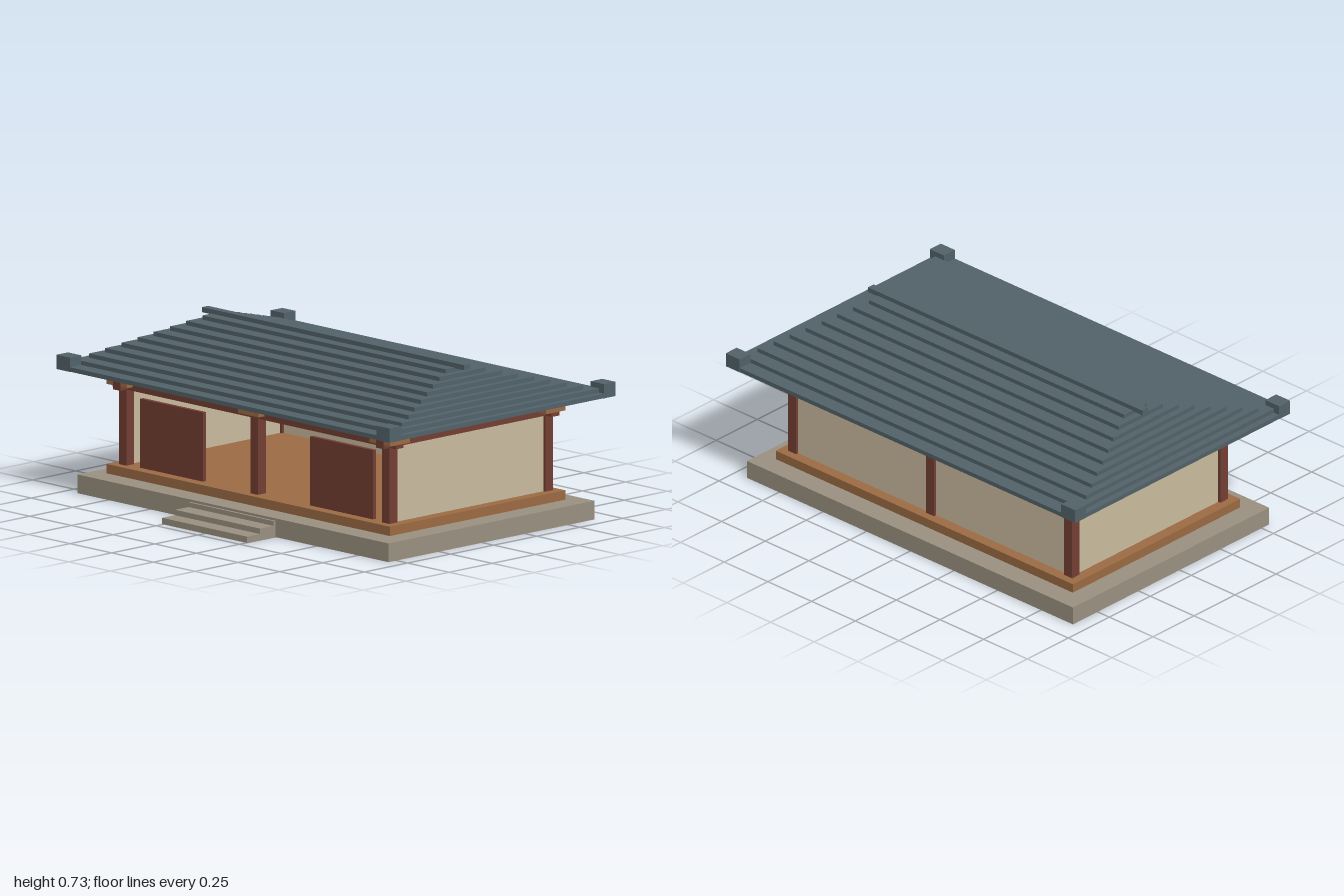
import * as THREE from 'three';

export function createModel() {
  const model = new THREE.Group();
  const paint = (name, color) => {
    const m = new THREE.MeshStandardMaterial({ color });
    m.name = name;
    return m;
  };
  const stone = paint('stone', 0x9a9181);
  const timber = paint('timber', 0x9c6b43);
  const redWood = paint('red wood', 0x733f33);
  const plaster = paint('plaster', 0xcabb9e);
  const tile = paint('roof tile', 0x52626a);

  // The hall sits slightly behind the origin to leave room for the steps
  const hall = new THREE.Group();
  hall.name = 'hall';
  hall.position.z = -0.0525;
  model.add(hall);

  // Box from its centre in x and z, its size, and its bottom and top heights
  const block = (name, mat, w, d, y0, y1, x = 0, z = 0, parent = hall) => {
    const mesh = new THREE.Mesh(new THREE.BoxGeometry(w, y1 - y0, d), mat);
    mesh.name = name;
    mesh.position.set(x, (y0 + y1) / 2, z);
    parent.add(mesh);
    return mesh;
  };

  const postX = 0.79, postZ = 0.452;

  // Stone platform and timber floor
  block('platform', stone, 1.866, 1.195, 0, 0.08);
  block('floor', timber, 1.7, 1.02, 0.085, 0.125);

  // Front steps
  [[0.71, 0.027], [0.635, 0.05], [0.557, 0.07]].forEach(([front, top], i) => {
    block(`step${i + 1}`, stone, 0.51, front - 0.5, 0, top, 0, (front + 0.5) / 2, model);
  });

  // Posts, long beams and brackets along the front and back
  for (const sz of [-1, 1]) {
    block('longBeam', redWood, 1.7, 0.045, 0.45, 0.49, 0, sz * postZ);
    for (const sx of [-1, 0, 1]) {
      const x = sx * postX, z = sz * postZ;
      block('post', redWood, 0.045, 0.045, 0.08, 0.45, x, z);
      block('bracketBlock', timber, 0.124, 0.115, 0.467, 0.497, x, z);
      block('bracketArm', timber, 0.165, 0.065, 0.503, 0.53, x, z);
    }
  }

  // Cross beams and side walls
  for (const sx of [-1, 1]) {
    block('crossBeam', redWood, 0.045, 1.02, 0.45, 0.489, sx * postX, 0);
    block('sideWall', plaster, 0.02, 0.87, 0.125, 0.45, sx * postX, 0);
  }
  block('backWall', plaster, 1.56, 0.02, 0.125, 0.45, 0, -postZ);

  // Two pairs of door leaves in the open front
  for (const sx of [-1, 1]) {
    for (const side of [-1, 1]) {
      block('doorLeaf', redWood, 0.188, 0.018, 0.125, 0.42, sx * 0.51 + side * 0.0945, postZ);
    }
  }

  // Stepped hip roof, every course smaller than the one below
  const courses = 10;
  for (let i = 0; i < courses; i++) {
    const bottom = i === 0 ? 0.53 : 0.531 + 0.018 * i;
    block('roofCourse', tile, 2 - 0.06 * i, 1.31 - 0.13 * i, bottom, 0.549 + 0.018 * i);
  }
  block('ridge', tile, 1.57, 0.035, 0.708, 0.73);

  // Raised eave corners
  for (const sx of [-1, 1]) {
    for (const sz of [-1, 1]) {
      block('eaveCorner', tile, 0.08, 0.067, 0.529, 0.59, sx * 0.96, sz * 0.622);
    }
  }
  return model;
}
